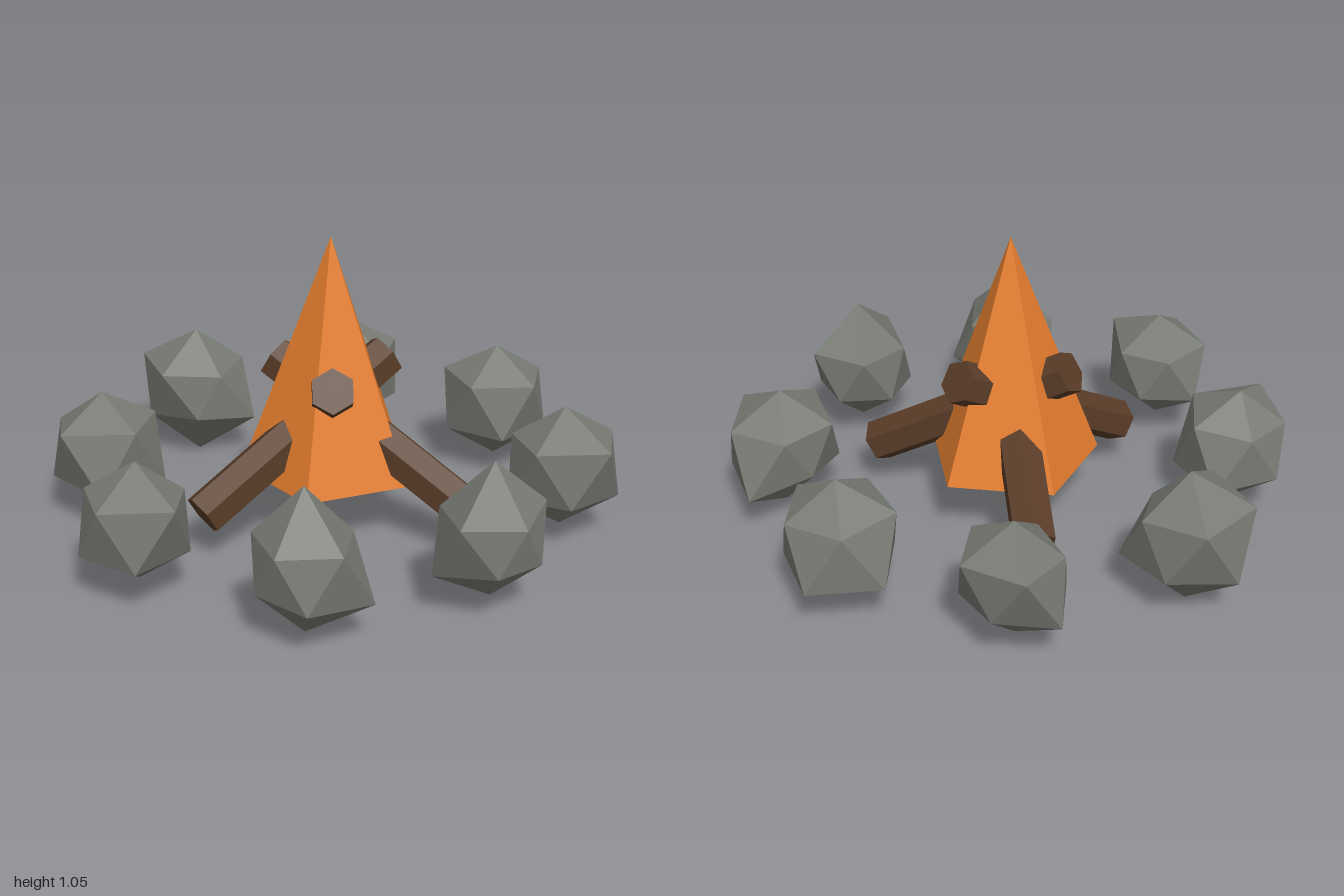
import * as THREE from 'three';

const mat = (name, color) => {
  const m = new THREE.MeshStandardMaterial({ color, flatShading: true });
  m.name = name;
  return m;
};

// Rough icosahedron: ten zigzag ring radii, then top and bottom pole radii (hundredths).
function stoneGeometry(radii) {
  const points = radii.map((r100, i) => {
    const r = r100 / 100;
    if (i >= 10) return new THREE.Vector3(0, i === 10 ? r : -r, 0);
    const a = (i * Math.PI) / 5;
    const h = i % 2 ? -0.447 : 0.447;
    return new THREE.Vector3(0.894 * Math.cos(a), h, -0.894 * Math.sin(a)).multiplyScalar(r);
  });
  const corners = [];
  for (let i = 0; i < 10; i++) {
    const j = (i + 1) % 10, k = (i + 2) % 10;
    if (i % 2 === 0) corners.push(i, j, k, 10, i, k);
    else corners.push(i, k, j, 11, k, i);
  }
  const geo = new THREE.BufferGeometry().setFromPoints(corners.map((c) => points[c]));
  geo.computeVertexNormals();
  return geo;
}

// Five-sided cone standing on baseY with a corner pointing to the back.
function flameGeometry(radius, height, baseY) {
  return new THREE.ConeGeometry(radius, height, 5).rotateY(Math.PI).translate(0, baseY + height / 2, 0);
}

export function createModel() {
  const stone = mat('stone grey', 0x777b73);
  const wood = mat('log brown', 0x5a3d28);
  const orange = mat('flame orange', 0xe67e2e);
  const yellow = mat('flame yellow', 0xe6c040);

  const model = new THREE.Group();
  model.name = 'campfire';
  const add = (name, geo, material) => {
    const mesh = new THREE.Mesh(geo, material);
    mesh.name = name;
    model.add(mesh);
    return mesh;
  };
  const centreX = 0.03;

  // Flames
  add('outerFlame', flameGeometry(0.312, 0.835, 0.22), orange).position.x = centreX;
  add('innerFlame', flameGeometry(0.18, 0.5, 0.216), yellow).position.x = centreX;

  // Leaning logs: low outer end to raised inner end
  const logs = [
    [[-0.03, 0.165, 0.505], [0.055, 0.59, -0.23]],
    [[0.5, 0.165, -0.21], [-0.17, 0.59, 0.085]],
    [[-0.365, 0.165, -0.295], [0.2, 0.59, 0.13]],
  ];
  logs.forEach(([low, high], i) => {
    const a = new THREE.Vector3(...low), b = new THREE.Vector3(...high);
    const geo = new THREE.CylinderGeometry(0.078, 0.078, a.distanceTo(b), 6).rotateX(Math.PI / 2);
    const log = add(`log${i + 1}`, geo, wood);
    log.position.copy(a).add(b).multiplyScalar(0.5);
    log.lookAt(b);
  });

  // Ring of stones, counter-clockwise from the left (+x) side
  const stones = [
    [17, 18, 21, 18, 20, 19, 19, 23, 24, 17, 26, 21],
    [24, 22, 21, 26, 19, 17, 20, 23, 24, 21, 21, 23],
    [22, 21, 20, 24, 20, 25, 22, 22, 22, 22, 20.5, 23],
    [21, 20, 21, 18, 24, 23, 18, 21, 19, 25, 20, 22],
    [17, 25, 20, 21, 24, 24, 24, 21, 24, 18, 22.5, 26.5],
    [23, 25, 21, 24, 18, 20, 18, 21, 25, 25, 19.5, 23],
    [25, 20, 18, 18, 18, 21, 20, 22, 22, 22, 20.5, 21],
    [21, 25, 18, 18, 20, 26, 19, 18, 18, 20, 26, 24],
  ];
  stones.forEach((radii, i) => {
    const a = (i * Math.PI) / 4;
    add(`stone${i + 1}`, stoneGeometry(radii), stone)
      .position.set(centreX + 0.8 * Math.cos(a), 0.27, -0.8 * Math.sin(a));
  });

  return model;
}
